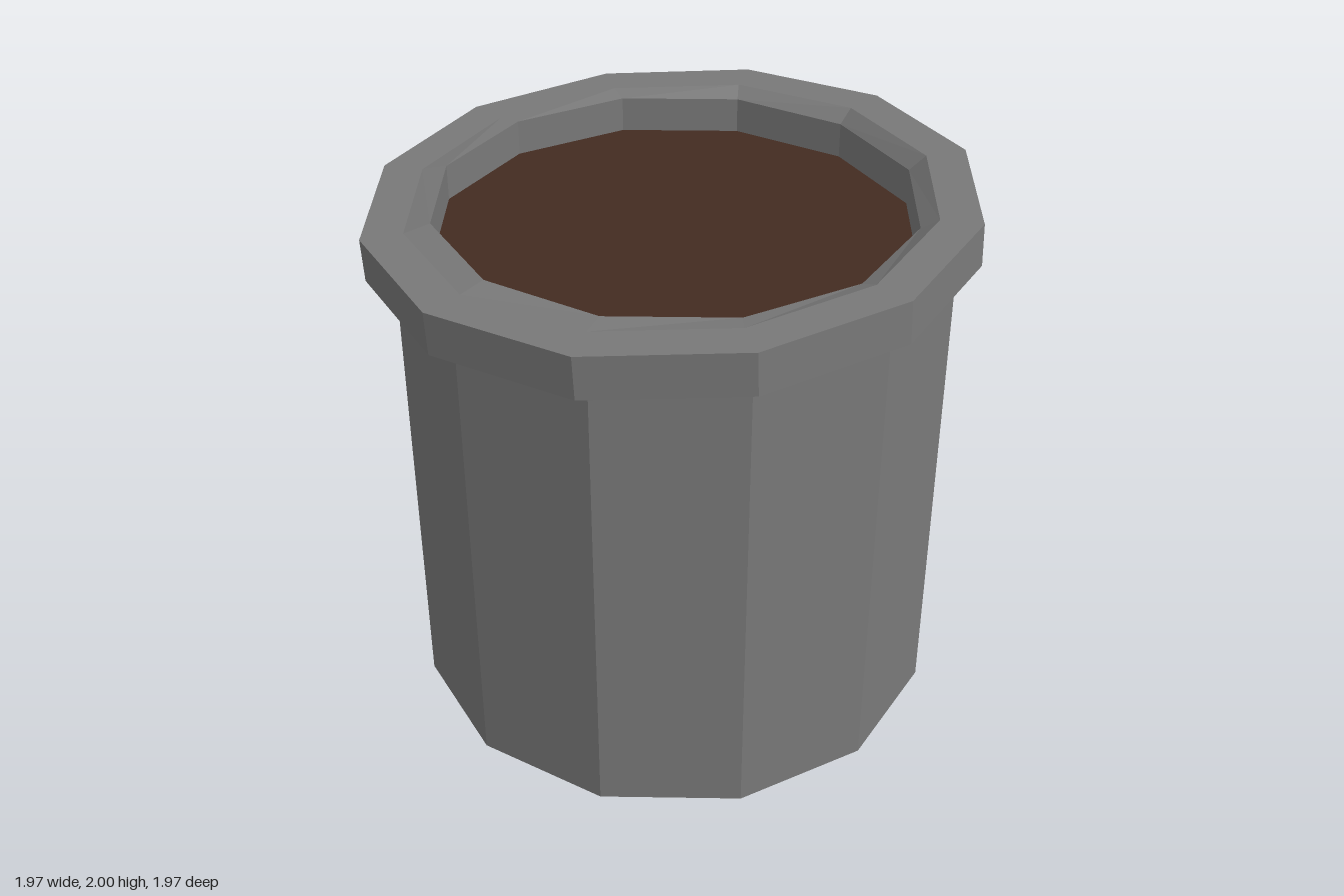
import * as THREE from 'three';

const SIDES = 12;
const TILT = 0.0406;
const RIM_Y = 1.8875;

// Level ring of the pot wall
function levelRing(r, y) {
  return (x, z) => [r * x + 0.0135, y, r * z - 0.008];
}

// Ring of the crooked rim, at height h from the rim's middle plane
function tiltedRing(r, h) {
  const c = Math.cos(TILT), s = Math.sin(TILT);
  return (x, z) => [r * x * c - h * s, RIM_Y + r * x * s + h * c, r * z];
}

// Skin a list of rings, running bottom -> outside -> top -> inside
function skin(rings) {
  const positions = [], index = [];
  for (const ring of rings) {
    for (let j = 0; j < SIDES; j++) {
      const a = (j / SIDES) * Math.PI * 2;
      positions.push(...ring(Math.sin(a), Math.cos(a)));
    }
  }
  for (let i = 0; i < rings.length - 1; i++) {
    for (let j = 0; j < SIDES; j++) {
      const k = (j + 1) % SIDES;
      const a = i * SIDES + j, b = i * SIDES + k;
      index.push(a, b, b + SIDES, a, b + SIDES, a + SIDES);
    }
  }
  const indexed = new THREE.BufferGeometry();
  indexed.setAttribute('position', new THREE.Float32BufferAttribute(positions, 3));
  indexed.setIndex(index);
  const geometry = indexed.toNonIndexed();
  geometry.computeVertexNormals();
  return geometry;
}

export function createModel() {
  const grey = new THREE.MeshStandardMaterial({ color: 0x797979, flatShading: true });
  const brown = new THREE.MeshStandardMaterial({ color: 0x432b21, flatShading: true });
  const model = new THREE.Group();
  model.name = 'filledPot';

  // Pot: chamfered foot and straight wall, flaring into a crooked rim
  // that slopes back to a level inner well
  const h = 0.0715;
  const pot = new THREE.Mesh(skin([
    levelRing(0, 0), levelRing(0.735, 0),
    levelRing(0.902, 0.163), levelRing(0.902, 1.81),
    tiltedRing(0.985, -h), tiltedRing(0.985, h), tiltedRing(0.85, h),
    levelRing(0.78, 1.945), levelRing(0.78, 1.82),
  ]), grey);
  pot.name = 'pot';

  // Filling, set a little below the lip
  const filling = new THREE.Mesh(new THREE.CircleGeometry(0.78, SIDES), brown);
  filling.name = 'filling';
  filling.rotation.x = -Math.PI / 2;
  filling.position.set(0.0135, 1.825, -0.008);

  model.add(pot, filling);
  return model;
}
